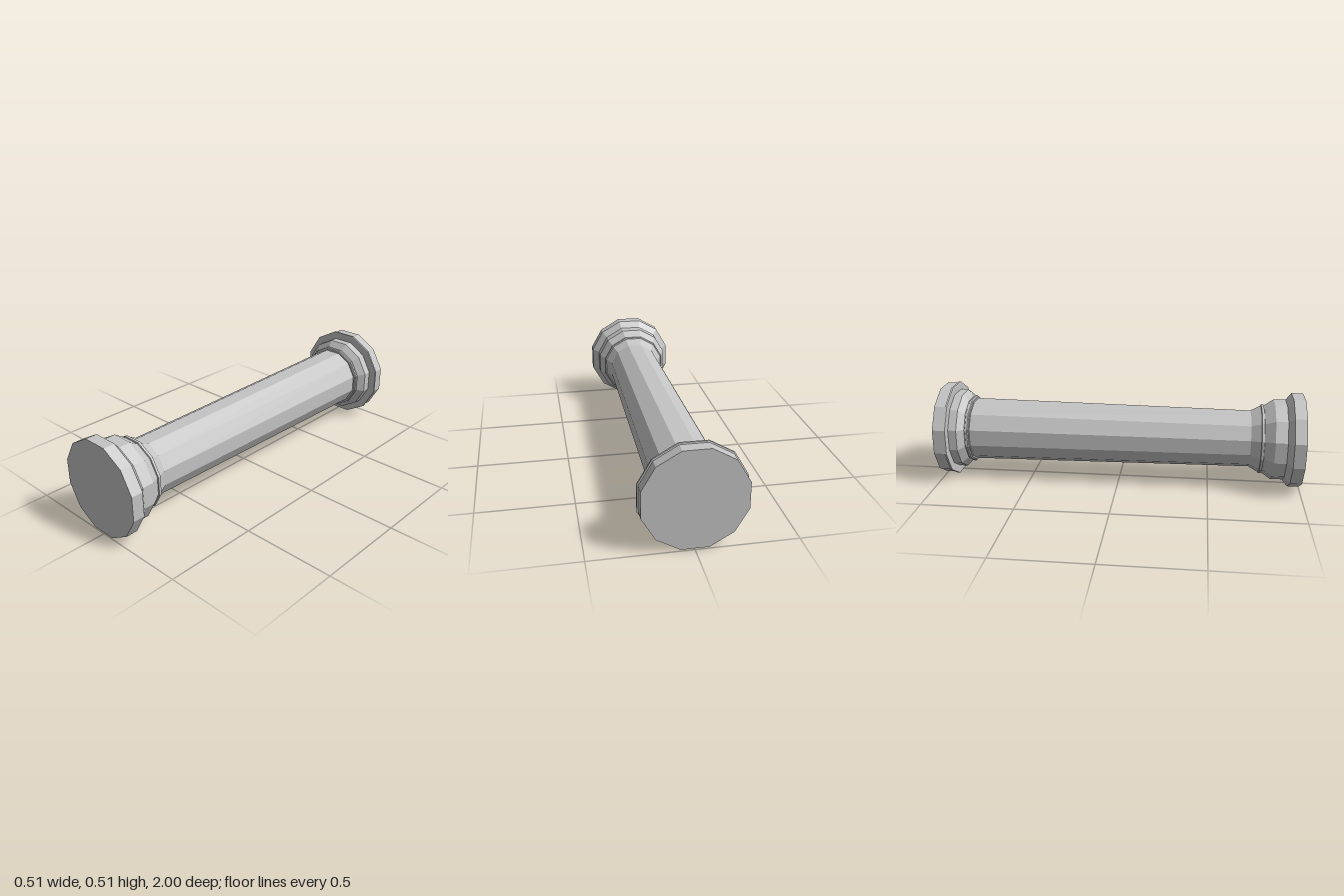
import * as THREE from 'three';

const SIDES = 12;
const CENTRE_Y = 0.256;

export function createModel() {
  const group = new THREE.Group();
  group.name = 'column';
  const stone = new THREE.MeshStandardMaterial({ color: 0xc4c4c4 });
  stone.name = 'grey stone';
  stone.flatShading = true;

  // Twelve-sided turned part lying along z; profile is [flat-to-centre distance, z], back to front
  const turned = (name, profile) => {
    const toCorner = 1 / Math.cos(Math.PI / SIDES);
    const points = profile.map(([a, z]) => new THREE.Vector2(a * toCorner, z));
    const geometry = new THREE.LatheGeometry(points, SIDES, Math.PI / SIDES);
    geometry.rotateX(Math.PI / 2);
    const mesh = new THREE.Mesh(geometry, stone);
    mesh.name = name;
    mesh.position.y = CENTRE_Y;
    group.add(mesh);
  };

  // Back end: slab with a thin lip, then a stepped block
  turned('backSlab', [[0, -1], [0.249, -1], [0.249, -0.939], [0.256, -0.937], [0.256, -0.927], [0.249, -0.925], [0.213, -0.925]]);
  turned('backBlock', [[0.213, -0.925], [0.213, -0.88], [0.182, -0.85]]);
  turned('backRing', [[0.182, -0.85], [0.176, -0.847], [0.176, -0.843], [0.182, -0.84], [0.182, -0.829], [0.176, -0.825], [0.176, -0.82], [0.167, -0.82]]);

  // Tapered shaft
  turned('shaft', [[0.167, -0.82], [0.15, 0.72]]);

  // Front end: flare, thin ring, shoulder and slab
  turned('frontFlare', [[0.15, 0.72], [0.178, 0.773]]);
  turned('frontRing', [[0.178, 0.773], [0.185, 0.775], [0.185, 0.788], [0.179, 0.79]]);
  turned('frontShoulder', [[0.179, 0.79], [0.213, 0.843], [0.213, 0.907]]);
  turned('frontSlab', [[0.213, 0.907], [0.249, 0.937], [0.249, 1], [0, 1]]);

  return group;
}
